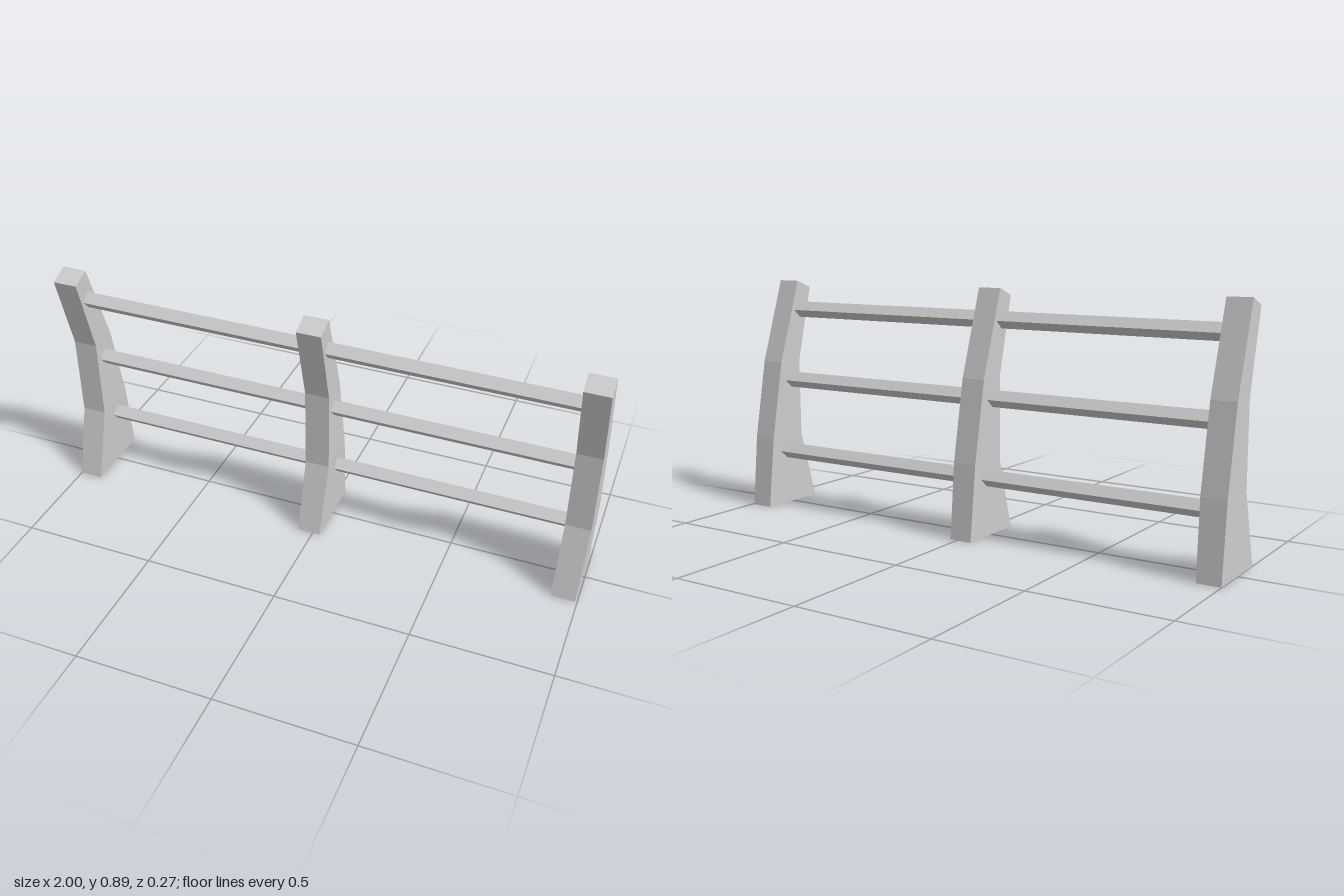
import * as THREE from 'three';

const material = new THREE.MeshStandardMaterial({ color: 0xcccccc, flatShading: true });

// Side outline of a post as (z, y), from the front foot round to the back foot
const POST_PROFILE = [
  [0.137, 0], [0.063, 0.27], [0.061, 0.575], [0.135, 0.867],
  [0.063, 0.895], [-0.045, 0.575], [-0.102, 0.275], [-0.137, 0],
];
const POST_WIDTH = 0.091;
const POST_X = { rightPost: -0.951, middlePost: -0.01, leftPost: 0.9545 };

// Rail centres as (y, z), following the lean of the posts
const RAILS = { lowerRail: [0.217, -0.03], middleRail: [0.502, 0.009], upperRail: [0.781, 0.07] };
const RAIL_SIZE = 0.0445;

function createPostGeometry() {
  const shape = new THREE.Shape(POST_PROFILE.map(([z, y]) => new THREE.Vector2(z, y)));
  const geometry = new THREE.ExtrudeGeometry(shape, { depth: POST_WIDTH, bevelEnabled: false });
  geometry.translate(0, 0, -POST_WIDTH / 2);
  geometry.rotateY(-Math.PI / 2);

  // The foot is slightly narrower and leans a little sideways
  const pos = geometry.attributes.position;
  for (let i = 0; i < pos.count; i++) {
    if (pos.getY(i) < 0.01) pos.setX(i, pos.getX(i) - (pos.getX(i) > 0 ? 0.008 : 0.003));
  }
  geometry.computeVertexNormals();
  return geometry;
}

export function createModel() {
  const group = new THREE.Group();
  group.name = 'fence';

  // Three leaning posts
  const postGeometry = createPostGeometry();
  for (const [name, x] of Object.entries(POST_X)) {
    const post = new THREE.Mesh(postGeometry, material);
    post.name = name;
    post.position.x = x;
    group.add(post);
  }

  // Square rails set on edge, spanning each bay from post face to post face
  const centres = Object.values(POST_X);
  for (let bay = 0; bay < 2; bay++) {
    const start = centres[bay] + POST_WIDTH / 2 - 0.008;
    const end = centres[bay + 1] - POST_WIDTH / 2 + 0.008;
    const railGeometry = new THREE.BoxGeometry(end - start, RAIL_SIZE, RAIL_SIZE);
    for (const [name, [y, z]] of Object.entries(RAILS)) {
      const rail = new THREE.Mesh(railGeometry, material);
      rail.name = name + (bay === 0 ? 'Right' : 'Left');
      rail.position.set((start + end) / 2, y, z);
      rail.rotation.x = 0.73;
      group.add(rail);
    }
  }

  return group;
}
